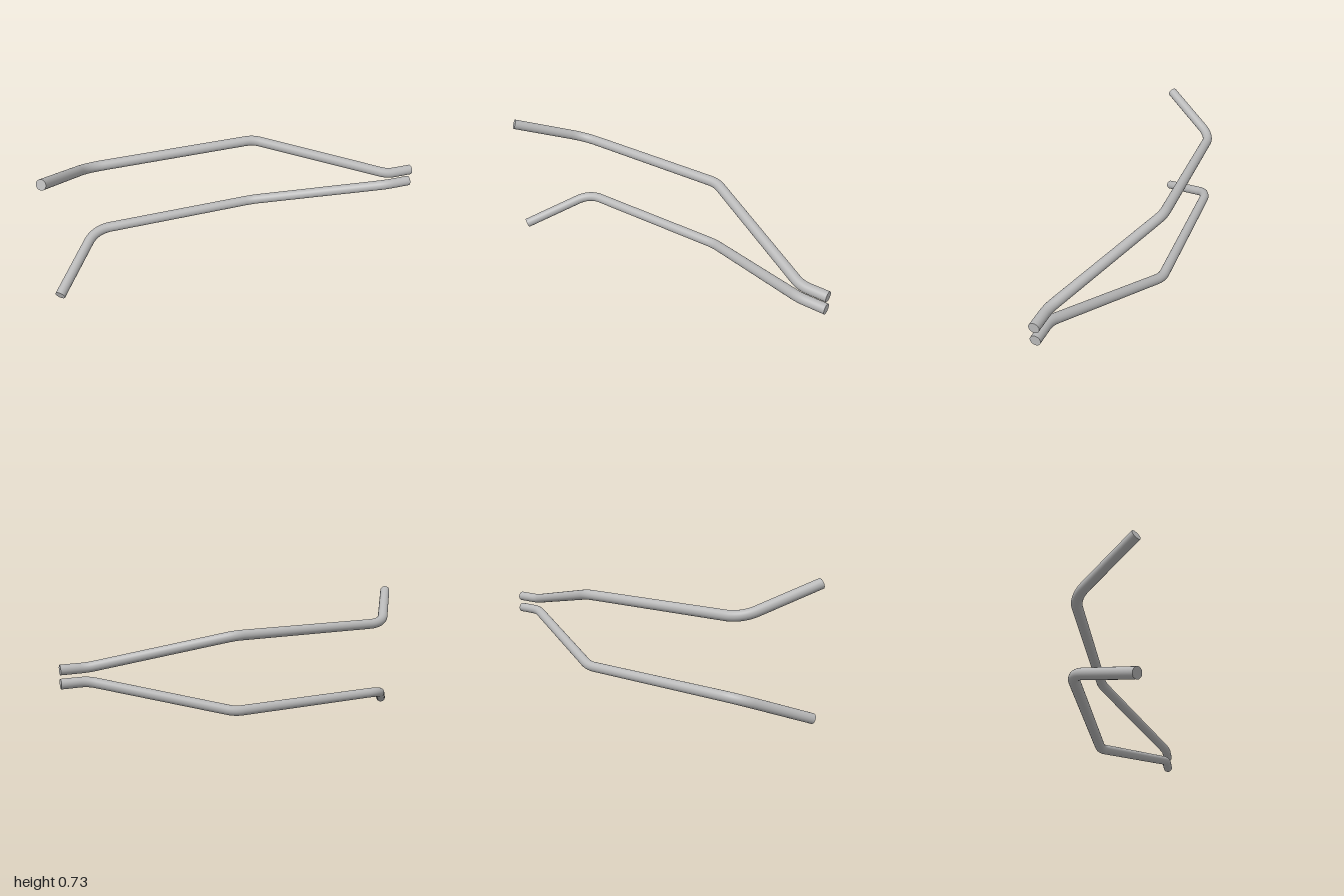
import * as THREE from 'three';

const RADIUS = 0.0268;
const BEND = 0.16; // centre-line bend radius
const MID_Y = 0.3635; // mirror plane between the two tubes

// Straight runs joined by circular bends at each inner corner
function bentPath(points) {
  const path = new THREE.CurvePath();
  let from = points[0];
  for (let i = 1; i < points.length - 1; i++) {
    const p = points[i];
    const a = points[i - 1].clone().sub(p).normalize();
    const b = points[i + 1].clone().sub(p).normalize();
    const turn = Math.PI - a.angleTo(b);
    const t = BEND * Math.tan(turn / 2);
    const h = t - (4 / 3) * Math.tan(turn / 4) * BEND;
    const start = p.clone().addScaledVector(a, t);
    const end = p.clone().addScaledVector(b, t);
    path.add(new THREE.LineCurve3(from, start));
    path.add(new THREE.CubicBezierCurve3(
      start, p.clone().addScaledVector(a, h), p.clone().addScaledVector(b, h), end));
    from = end;
  }
  path.add(new THREE.LineCurve3(from, points[points.length - 1]));
  return path;
}

// Flat disc closing a tube end, facing along dir
function endCap(name, position, dir, material) {
  const cap = new THREE.Mesh(new THREE.CircleGeometry(RADIUS, 32), material);
  cap.name = name;
  cap.position.copy(position);
  cap.quaternion.setFromUnitVectors(new THREE.Vector3(0, 0, 1), dir);
  return cap;
}

function bentTube(name, points, material) {
  const group = new THREE.Group();
  group.name = name;
  const tube = new THREE.Mesh(
    new THREE.TubeGeometry(bentPath(points), 160, RADIUS, 32, false), material);
  tube.name = name + 'Body';
  group.add(tube);
  const n = points.length - 1;
  group.add(endCap(name + 'StraightEnd', points[0],
    points[0].clone().sub(points[1]).normalize(), material));
  group.add(endCap(name + 'FlaredEnd', points[n],
    points[n].clone().sub(points[n - 1]).normalize(), material));
  return group;
}

export function createModel() {
  const model = new THREE.Group();
  model.name = 'bentTubePair';
  const steel = new THREE.MeshStandardMaterial({ color: 0xb8b8b8 });
  steel.name = 'grey steel';

  // Centre-line corners of the upper tube; the lower one is its mirror image
  const corners = [
    [1, 0.4, 0.151],
    [0.86, 0.4, 0.151],
    [0.18, 0.562, -0.164],
    [-0.735, 0.562, -0.147],
    [-0.978, 0.702, 0.172],
  ];
  const upper = corners.map(([x, y, z]) => new THREE.Vector3(x, y, z));
  const lower = corners.map(([x, y, z]) => new THREE.Vector3(x, 2 * MID_Y - y, z));
  model.add(bentTube('upperTube', upper, steel));
  model.add(bentTube('lowerTube', lower, steel));
  return model;
}
